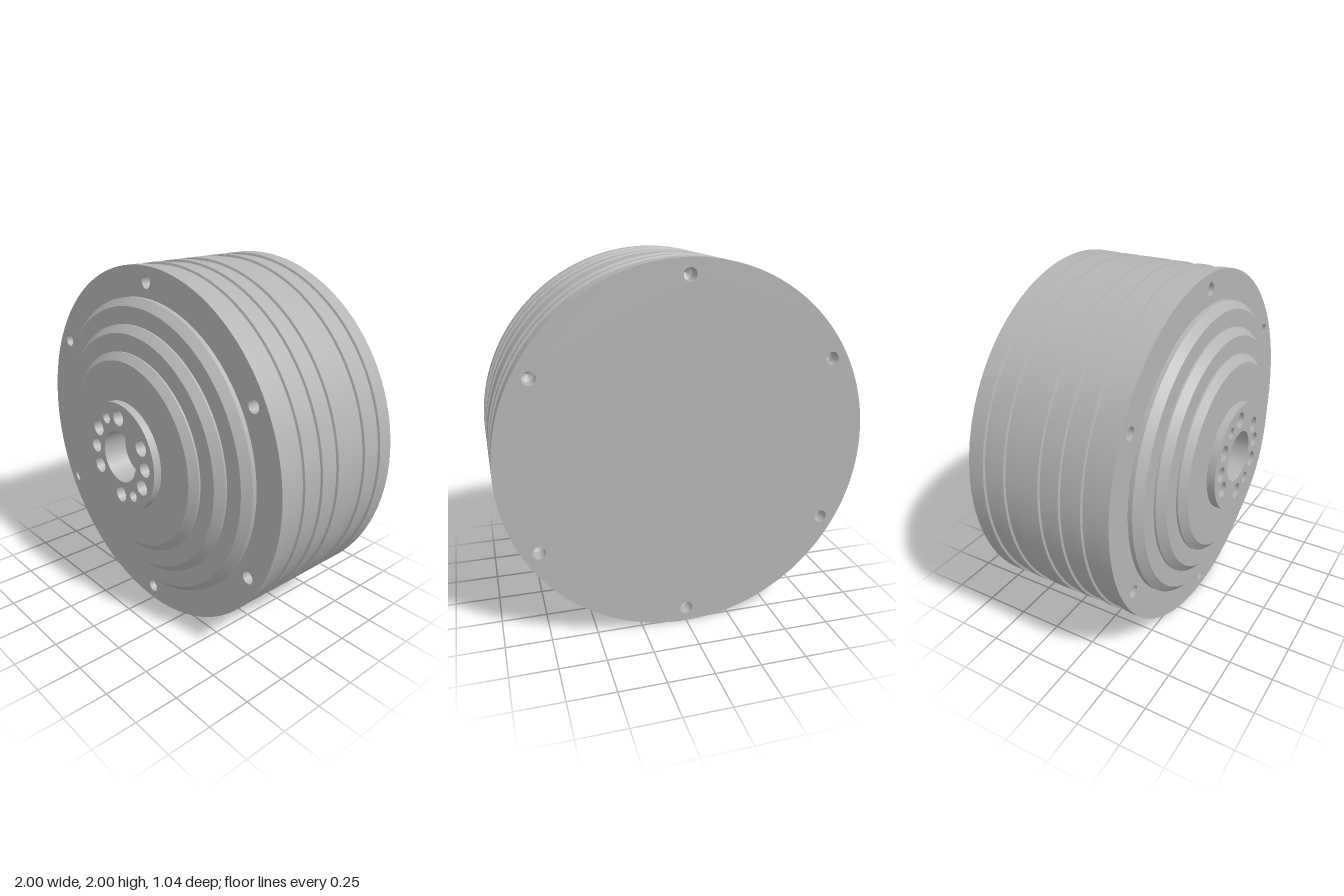
import * as THREE from 'three';
import { mergeGeometries } from 'three/addons/utils/BufferGeometryUtils.js';

const SIDES = 128, HOLE_SIDES = 24;
const BACK = -0.52, FACE = 0.315, PLATE = 0.475, HUB = 0.52;

// Turned surface about z from [radius, z] points; each segment is separate so edges stay sharp
function turned(points, sides = SIDES) {
  const parts = [];
  for (let i = 0; i < points.length - 1; i++) {
    const pair = [points[i], points[i + 1]].map(([r, z]) => new THREE.Vector2(r, z));
    parts.push(new THREE.LatheGeometry(pair, sides).rotateX(Math.PI / 2));
  }
  return mergeGeometries(parts);
}

function circle(r, sides, cx = 0, cy = 0) {
  return Array.from({ length: sides }, (_, i) => {
    const a = (i / sides) * Math.PI * 2;
    return new THREE.Vector2(cx + r * Math.cos(a), cy + r * Math.sin(a));
  });
}

// Flat disc facing +z, pierced by the given holes
function disc(r, z, holes, inner = 0) {
  const shape = new THREE.Shape(circle(r, SIDES));
  holes.forEach(h => shape.holes.push(new THREE.Path(circle(h.r, HOLE_SIDES, h.x, h.y))));
  if (inner) shape.holes.push(new THREE.Path(circle(inner, SIDES)));
  return new THREE.ShapeGeometry(shape).translate(0, 0, z);
}

// Blind hole: straight wall and a flat or drilled (conical) bottom
function blindHole({ r, x, y, depth, tip = 0 }, z) {
  return turned([[r, 0], [r, -depth], [0, -depth - tip]], HOLE_SIDES).translate(x, y, z);
}

function holeAt(degrees, ring, r, depth, tip) {
  const a = THREE.MathUtils.degToRad(degrees);
  return { x: ring * Math.cos(a), y: ring * Math.sin(a), r, depth, tip };
}

export function createModel() {
  const model = new THREE.Group();
  const metal = new THREE.MeshStandardMaterial({ color: 0xb4b4b4 });
  metal.name = 'grey metal';

  const wheel = new THREE.Group();
  wheel.name = 'wheel';
  wheel.position.y = 1;
  model.add(wheel);
  const add = (name, geometry) => {
    const mesh = new THREE.Mesh(geometry, metal);
    mesh.name = name;
    wheel.add(mesh);
    return mesh;
  };

  // Drum wall: raised bands separated by shallow grooves
  const bands = [[BACK, -0.43], [-0.345, -0.3], [-0.22, -0.09], [-0.02, 0.03], [0.133, 0.158], [0.255, FACE]];
  const wall = [];
  bands.forEach(([z0, z1], i) => {
    if (i > 0) wall.push([0.988, z0 - 0.004]);
    wall.push([1, z0], [1, z1]);
    if (i < bands.length - 1) wall.push([0.988, z1 + 0.004]);
  });
  add('drumWall', turned(wall));

  // Front and back faces with six rim bolt holes each
  const rimHoles = [30, 90, 150, 210, 270, 330].map(d => holeAt(d, 0.918, 0.035, 0.08, 0.02));
  add('frontFace', disc(1, FACE, rimHoles, 0.835));
  add('backFace', disc(1, -BACK, rimHoles)).rotation.y = Math.PI;
  rimHoles.forEach(h => {
    add('frontRimHole', blindHole(h, FACE));
    add('backRimHole', blindHole(h, -BACK)).rotation.y = Math.PI;
  });

  // Three chamfered steps rising to the hub plate
  add('frontSteps', turned([
    [0.835, FACE], [0.835, 0.34], [0.795, 0.38],
    [0.7, 0.38], [0.7, 0.39], [0.66, 0.43],
    [0.562, 0.43], [0.562, 0.44], [0.522, PLATE], [0.305, PLATE],
  ]));

  // Hub with drilled bolt holes, two dowel holes and two small pin holes
  const hubHoles = [
    ...[30, 90, 150, 210, 270, 330].map(d => holeAt(d, 0.225, 0.045, 0.08, 0.025)),
    ...[0, 180].map(d => holeAt(d, 0.225, 0.042, 0.08)),
    ...[120, 300].map(d => holeAt(d, 0.225, 0.032, 0.08)),
  ];
  add('hubRim', turned([[0.305, PLATE], [0.305, HUB]]));
  add('hubFace', disc(0.305, HUB, hubHoles, 0.145));
  hubHoles.forEach(h => add('hubHole', blindHole(h, HUB)));

  // Central bore
  add('centreBore', turned([[0.145, HUB], [0.145, HUB - 0.14], [0, HUB - 0.14]]));

  return model;
}
